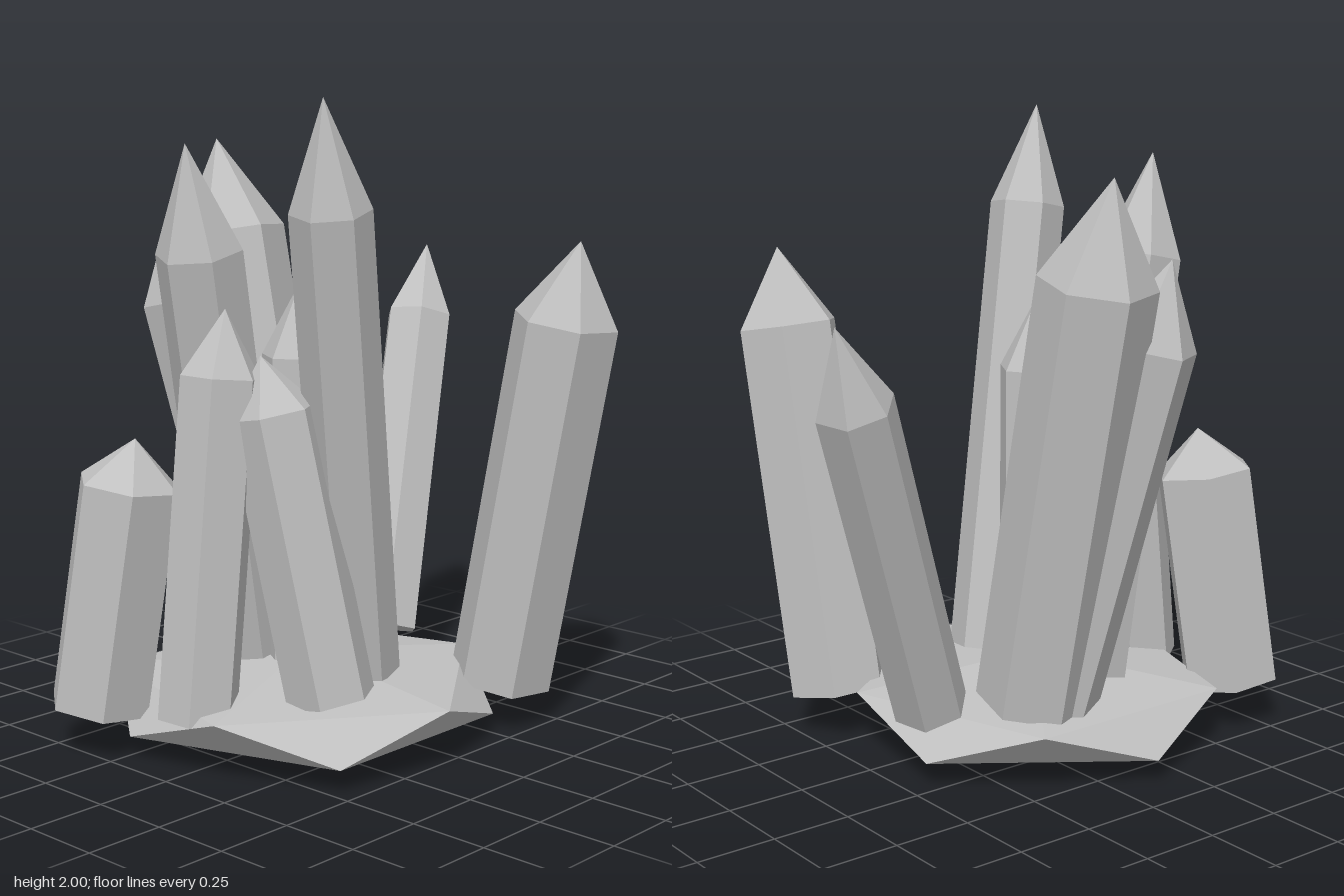
import * as THREE from 'three';
import { ConvexGeometry } from 'three/addons/geometries/ConvexGeometry.js';
import { mergeGeometries } from 'three/addons/utils/BufferGeometryUtils.js';

// Hexagonal prism with a pointed cap, standing on the origin
function crystalGeometry(radius, length, tipLength, turn) {
  const start = Math.PI / 2 - THREE.MathUtils.degToRad(turn);
  const shaft = length - tipLength;
  const body = new THREE.CylinderGeometry(radius, radius, shaft, 6, 1, true, start);
  body.translate(0, shaft / 2, 0);
  const cap = new THREE.ConeGeometry(radius, tipLength, 6, 1, true, start);
  cap.translate(0, shaft + tipLength / 2, 0);
  const foot = new THREE.CircleGeometry(radius, 6, THREE.MathUtils.degToRad(turn));
  foot.rotateX(Math.PI / 2);
  return mergeGeometries([body, cap, foot]);
}

export function createModel() {
  const group = new THREE.Group();
  const stone = new THREE.MeshStandardMaterial({ color: 0xc0c0c0, flatShading: true });
  stone.name = 'pale grey stone';

  // Rock base: flattened twenty-sided stone
  const points = [new THREE.Vector3(0, 0.135, 0), new THREE.Vector3(0, -0.135, 0)];
  for (let i = 0; i < 5; i++) {
    const a = (i * 2 * Math.PI) / 5;
    points.push(new THREE.Vector3(0.6 * Math.cos(a), 0.06, 0.6 * Math.sin(a)));
    points.push(new THREE.Vector3(-0.6 * Math.cos(a), -0.06, -0.6 * Math.sin(a)));
  }
  const rock = new THREE.Mesh(new ConvexGeometry(points), stone);
  rock.name = 'rockBase';
  rock.position.set(-0.03, 0.14, 0.13);
  group.add(rock);

  // Crystals: name, foot, tip, radius, cap length, turn of the hexagon in degrees
  const crystals = [
    ['tallCrystal', [0.18, 0.24, 0.095], [0.34, 2.0, 0.43], 0.122, 0.33, 15],
    ['thickCrystal', [-0.295, 0.23, -0.09], [-0.62, 1.855, -0.07], 0.178, 0.31, 10],
    ['leaningCrystal', [-0.32, 0.23, -0.03], [-0.605, 1.605, 0.17], 0.147, 0.26, 0],
    ['middleCrystal', [-0.21, 0.24, 0.19], [-0.11, 1.865, 0.54], 0.135, 0.33, 27],
    ['leftCrystal', [0.365, 0.145, -0.37], [0.62, 1.565, -0.41], 0.165, 0.25, 38],
    ['backCrystal', [-0.13, 0.22, -0.36], [-0.35, 1.475, -0.83], 0.118, 0.26, 46],
    ['frontCrystal', [-0.015, 0.16, 0.605], [-0.01, 1.385, 0.48], 0.125, 0.2, 55],
    ['shortCrystal', [0.265, 0.22, 0.32], [0.085, 1.25, 0.43], 0.138, 0.17, 0],
    ['stubCrystal', [-0.365, 0.145, 0.69], [-0.26, 0.985, 0.62], 0.163, 0.14, 37],
    ['uprightCrystal', [-0.04, 0.2, 0.125], [-0.04, 1.44, 0.13], 0.125, 0.23, 30],
  ];
  const up = new THREE.Vector3(0, 1, 0);
  for (const [name, foot, tip, radius, cap, turn] of crystals) {
    const from = new THREE.Vector3(...foot);
    const axis = new THREE.Vector3(...tip).sub(from);
    const mesh = new THREE.Mesh(crystalGeometry(radius, axis.length(), cap, turn), stone);
    mesh.name = name;
    mesh.position.copy(from);
    mesh.quaternion.setFromUnitVectors(up, axis.normalize());
    group.add(mesh);
  }
  return group;
}
